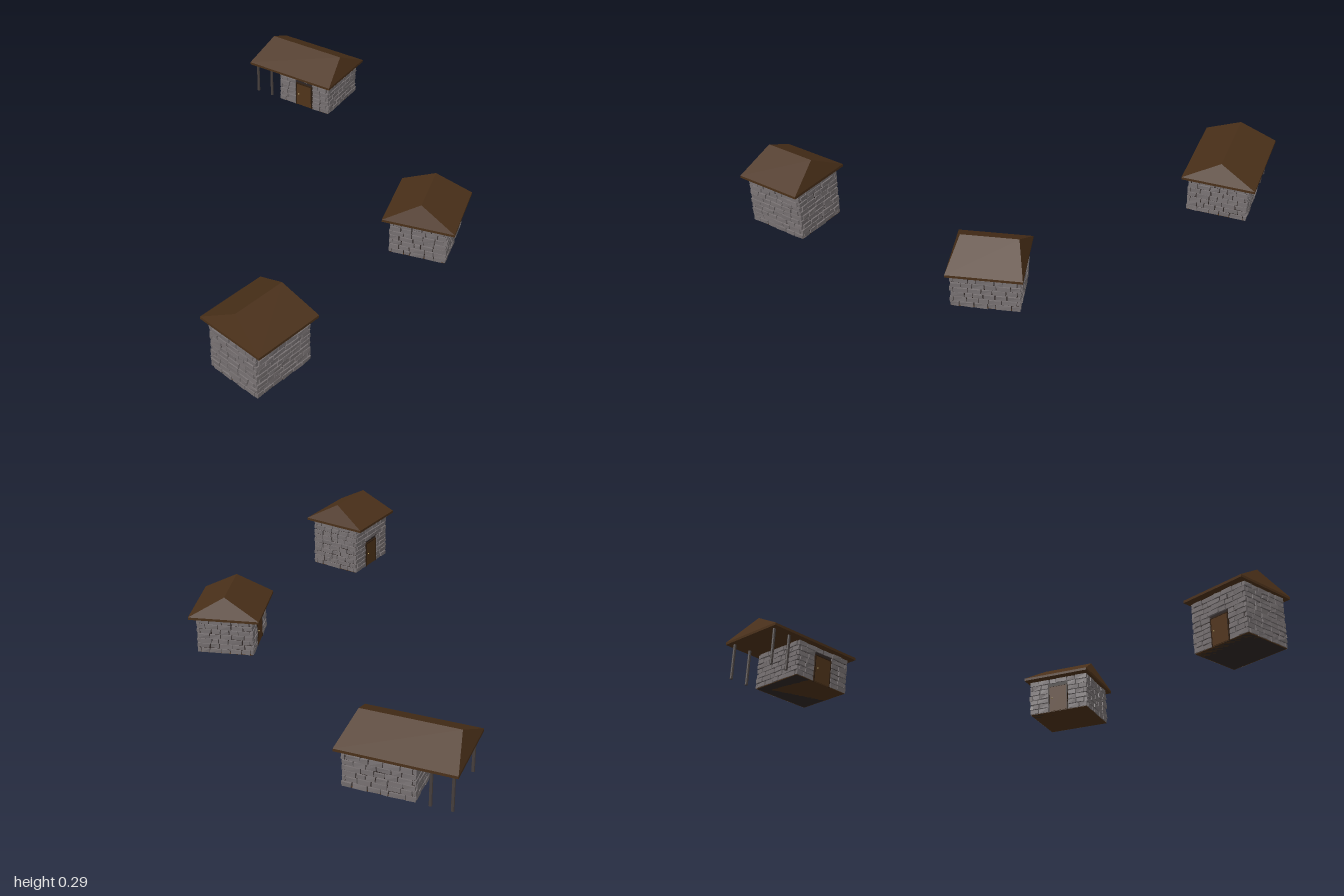
import * as THREE from 'three';
import { mergeGeometries } from 'three/addons/utils/BufferGeometryUtils.js';

const mat = (color) => new THREE.MeshStandardMaterial({ color, flatShading: true });
const stone = mat(0x767071), mortar = mat(0x2e2624), timber = mat(0x4a3019);
const plank = mat(0x50341a), frameWood = mat(0x2f1e10), postWood = mat(0x463f3d), metal = mat(0xb09a60);

// Small seeded generator for uneven stones
let seed = 7;
const rand = () => (seed = (seed * 16807) % 2147483647) / 2147483647;
const jitter = (a) => (rand() - 0.5) * 2 * a;

function add(group, name, geometry, material, x = 0, y = 0, z = 0) {
  const mesh = new THREE.Mesh(geometry, material);
  mesh.name = name;
  mesh.position.set(x, y, z);
  group.add(mesh);
  return mesh;
}

// One roughly cut stone: a box whose shared corners are nudged together
function stoneBlock(w, h, d) {
  const g = new THREE.BoxGeometry(w, h, d);
  const p = g.attributes.position;
  const nudge = Array.from({ length: 8 }, () => [jitter(0.0018), jitter(0.0014), jitter(0.0014)]);
  for (let i = 0; i < p.count; i++) {
    const n = nudge[(p.getX(i) > 0 ? 1 : 0) + (p.getY(i) > 0 ? 2 : 0) + (p.getZ(i) > 0 ? 4 : 0)];
    p.setXYZ(i, p.getX(i) + n[0], p.getY(i) + n[1], p.getZ(i) + n[2]);
  }
  return g;
}

// A run of stones between two points of a wall, facing +z before turning
function layRun(out, from, to, y, rowH, dist, turn) {
  const gap = 0.0035, t = 0.012;
  const n = Math.max(1, Math.round((to - from) / 0.043));
  const cuts = [from];
  for (let i = 1; i < n; i++) cuts.push(from + ((to - from) * (i + jitter(0.25))) / n);
  cuts.push(to);
  for (let i = 0; i < n; i++) {
    const g = stoneBlock(cuts[i + 1] - cuts[i] - gap, rowH - gap, t);
    g.translate((cuts[i] + cuts[i + 1]) / 2, y, dist - t / 2 + jitter(0.0015));
    out.push(g.rotateY(turn));
  }
}

// Hipped roof with its ridge along x, on a thin eave board
function hipRoof(length, depth, ridge, rise) {
  const x = length / 2, z = depth / 2, r = ridge / 2;
  const a = [-x, 0, z], b = [x, 0, z], c = [x, 0, -z], d = [-x, 0, -z];
  const e = [-r, rise, 0], f = [r, rise, 0];
  const faces = [a, b, f, a, f, e, c, d, e, c, e, f, b, c, f, d, a, e];
  const g = new THREE.BufferGeometry();
  g.setAttribute('position', new THREE.Float32BufferAttribute(faces.flat(), 3));
  g.computeVertexNormals();
  return g;
}

function house({ name, w, d, h, roofL, roofD, ridge, rise, wallX = 0, rows, x, z, turn }) {
  const group = new THREE.Group();
  group.name = name;
  group.position.set(x, 0, z);
  group.rotation.y = turn;
  const doorW = 0.08, doorH = 0.11;

  // Walls: mortar core wrapped in staggered courses of stone
  add(group, 'wallCore', new THREE.BoxGeometry(w - 0.012, h, d - 0.012), mortar, wallX, h / 2);
  const stones = [], rowH = h / rows;
  for (let row = 0; row < rows; row++) {
    const y = (row + 0.5) * rowH;
    for (let side = 0; side < 4; side++) {
      const alongX = side % 2 === 0;
      const half = (alongX ? w : d) / 2 - (alongX === (row % 2 === 0) ? 0 : 0.0125);
      const dist = (alongX ? d : w) / 2, angle = (side * Math.PI) / 2;
      if (side === 0 && y < doorH + rowH * 0.3) {
        layRun(stones, -half, -doorW / 2 - 0.003, y, rowH, dist, angle);
        layRun(stones, doorW / 2 + 0.003, half, y, rowH, dist, angle);
      } else layRun(stones, -half, half, y, rowH, dist, angle);
    }
  }
  add(group, 'wallStones', mergeGeometries(stones), stone, wallX);
  add(group, 'floor', new THREE.BoxGeometry(w - 0.006, 0.004, d - 0.006), timber, wallX, 0.002);

  // Door with frame and knob
  const face = d / 2;
  add(group, 'door', new THREE.BoxGeometry(doorW - 0.006, doorH - 0.004, 0.01), plank, wallX, doorH / 2, face - 0.005);
  for (const s of [-1, 1])
    add(group, 'doorJamb', new THREE.BoxGeometry(0.004, doorH, 0.012), frameWood, wallX + s * (doorW / 2 - 0.001), doorH / 2, face - 0.005);
  add(group, 'doorLintel', new THREE.BoxGeometry(doorW, 0.004, 0.012), frameWood, wallX, doorH, face - 0.005);
  add(group, 'doorKnob', new THREE.SphereGeometry(0.003, 8, 6), metal, wallX - 0.026, 0.058, face + 0.002);

  // Roof
  add(group, 'eaveBoard', new THREE.BoxGeometry(roofL, 0.01, roofD), timber, 0, h + 0.005);
  add(group, 'roof', hipRoof(roofL, roofD, ridge, rise), timber, 0, h + 0.01);
  return group;
}

export function createModel() {
  const model = new THREE.Group();
  model.name = 'stoneHouses';

  const porchHouse = house({ name: 'porchHouse', w: 0.254, d: 0.24, h: 0.145, roofL: 0.415, roofD: 0.289,
    ridge: 0.35, rise: 0.075, wallX: 0.062, rows: 7, x: -0.383, z: -0.825, turn: -0.158 });
  // Porch posts
  for (const px of [-0.186, -0.113]) for (const s of [-1, 1])
    add(porchHouse, 'porchPost', new THREE.CylinderGeometry(0.006, 0.006, 0.147, 8), postWood, px, 0.0735, s * 0.115);

  const small = { w: 0.254, d: 0.222, roofL: 0.276, roofD: 0.278, ridge: 0.212, rise: 0.08 };
  const lowHouse = house({ ...small, name: 'lowHouse', h: 0.145, rows: 7, x: 0.462, z: -0.036, turn: 0.072 - Math.PI / 2 });
  const tallHouse = house({ ...small, name: 'tallHouse', h: 0.205, rows: 10, x: 0.17, z: 0.818, turn: -0.354 - Math.PI / 2 });

  model.add(porchHouse, lowHouse, tallHouse);
  return model;
}
